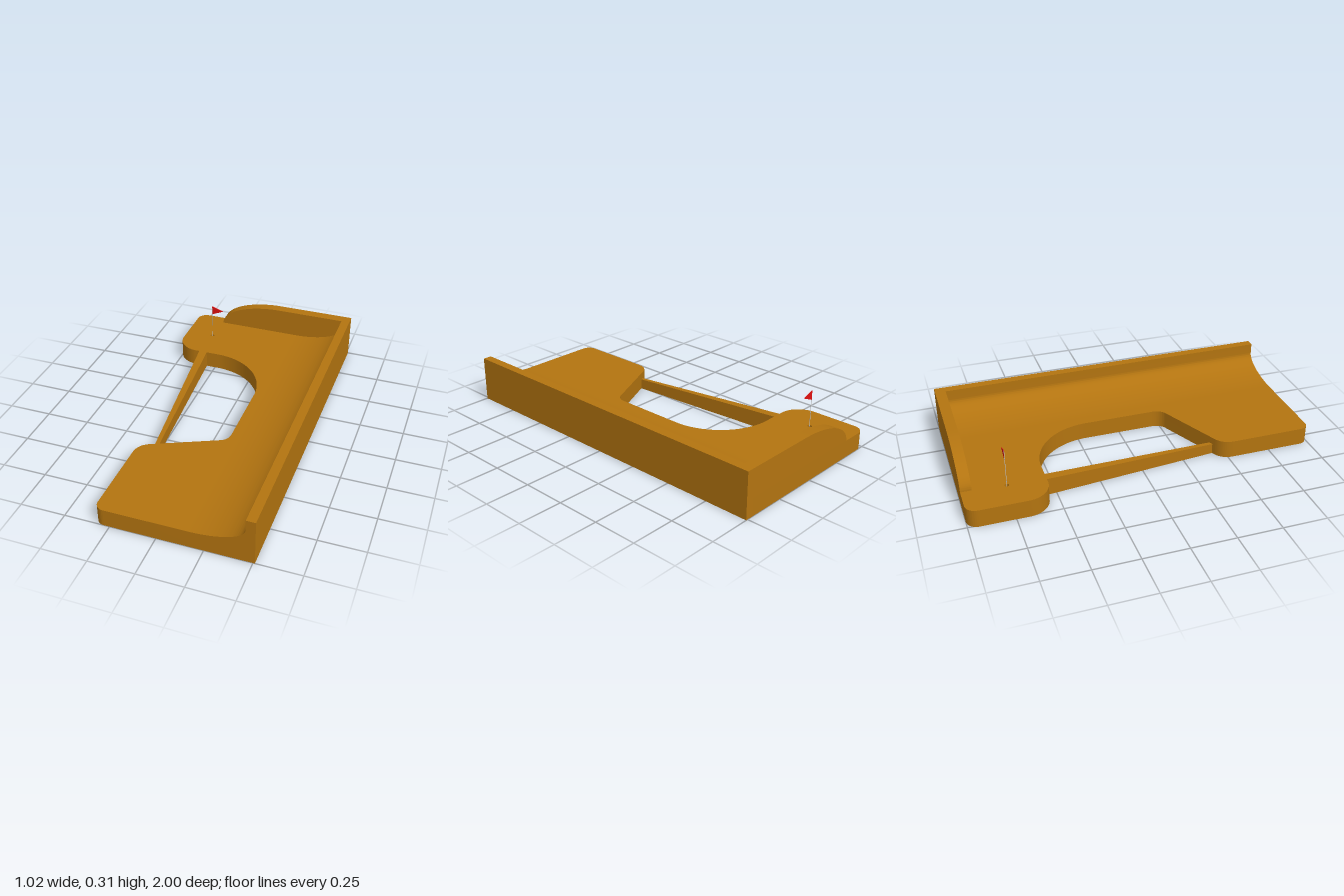
import * as THREE from 'three';
import { toCreasedNormals } from 'three/addons/utils/BufferGeometryUtils.js';

const wood = new THREE.MeshStandardMaterial({ color: 0xb37410 });
const grey = new THREE.MeshStandardMaterial({ color: 0xcccccc });
const red = new THREE.MeshStandardMaterial({ color: 0xe01010, side: THREE.DoubleSide });

const HOLE = { x: -0.342, z: -0.76, r: 0.0125 };

function extrude(shape, depth) {
  const geo = new THREE.ExtrudeGeometry(shape, { depth, bevelEnabled: false, curveSegments: 32 });
  return toCreasedNormals(geo, 0.5);
}

function add(group, name, geometry, material, x = 0, y = 0, z = 0) {
  const mesh = new THREE.Mesh(geometry, material);
  mesh.name = name;
  mesh.position.set(x, y, z);
  group.add(mesh);
  return mesh;
}

// Plan of the course floor, drawn with shape y = -z
function floorShape() {
  const s = new THREE.Shape();
  s.moveTo(0.51, -1);
  s.lineTo(0.51, 1);
  s.absarc(-0.45, 0.94, 0.06, Math.PI / 2, Math.PI, false);
  s.absarc(-0.38, 0.68, 0.13, Math.PI, Math.PI * 1.5, false);
  s.absarc(-0.23, 0.2, 0.35, Math.PI / 2, 0, true);
  s.lineTo(0.12, -0.205);
  s.quadraticCurveTo(0.12, -0.255, 0.08, -0.275);
  s.lineTo(-0.27, -0.435);
  s.quadraticCurveTo(-0.33, -0.463, -0.33, -0.53);
  s.absarc(-0.28, -0.95, 0.05, Math.PI, Math.PI * 1.5, false);
  s.closePath();
  const hole = new THREE.Path();
  hole.absarc(HOLE.x, -HOLE.z, HOLE.r, 0, Math.PI * 2, true);
  s.holes.push(hole);
  return s;
}

// Side bank: concave quarter ellipse rising to a flat rim
function bankShape() {
  const s = new THREE.Shape();
  s.moveTo(0.17, 0.1);
  s.absellipse(0.17, 0.2, 0.29, 0.1, -Math.PI / 2, 0, false);
  s.lineTo(0.46, 0.26);
  s.lineTo(0.51, 0.26);
  s.lineTo(0.51, 0.1);
  s.closePath();
  return s;
}

// Back wall: convex quarter ellipse leading to a level top
function wallShape() {
  const s = new THREE.Shape();
  s.moveTo(-0.33, 0.1);
  s.lineTo(0.51, 0.1);
  s.lineTo(0.51, 0.26);
  s.absellipse(0.05, 0.1, 0.38, 0.16, Math.PI / 2, Math.PI, false);
  return s;
}

// Narrow bridge: a box whose front end is moved, narrowed and lowered
function bridgeGeometry() {
  const geo = new THREE.BoxGeometry(1, 1, 1).toNonIndexed();
  const p = geo.attributes.position;
  for (let i = 0; i < p.count; i++) {
    const front = p.getZ(i) > 0, inner = p.getX(i) > 0, top = p.getY(i) > 0;
    const x = front ? (inner ? -0.238 : -0.26) : (inner ? -0.305 : -0.355);
    p.setXYZ(i, x, top ? (front ? 0.06 : 0.1) : 0, front ? 0.43 : -0.55);
  }
  geo.computeVertexNormals();
  return geo;
}

export function createModel() {
  const model = new THREE.Group();
  model.name = 'miniGolfHole';

  const floor = add(model, 'floor', extrude(floorShape(), 0.1), wood);
  floor.rotation.x = -Math.PI / 2;
  add(model, 'sideBank', extrude(bankShape(), 1.94), wood, 0, 0, -0.94);
  add(model, 'backWall', extrude(wallShape(), 0.06), wood, 0, 0, -1);
  add(model, 'bridge', bridgeGeometry(), wood);

  // Cup bottom
  add(model, 'cupBase', new THREE.CylinderGeometry(HOLE.r, HOLE.r, 0.05, 32), wood, HOLE.x, 0.025, HOLE.z);
  add(model, 'cupFloor', new THREE.CylinderGeometry(HOLE.r, HOLE.r, 0.005, 32), grey, HOLE.x, 0.0525, HOLE.z);

  // Flag and pole
  const flag = new THREE.Group();
  flag.name = 'flag';
  flag.position.set(HOLE.x, 0, HOLE.z);
  add(flag, 'pole', new THREE.CylinderGeometry(0.0015, 0.0015, 0.258, 12), grey, 0, 0.184, 0);
  const pennant = new THREE.Shape();
  pennant.moveTo(0, 0.313);
  pennant.lineTo(0, 0.257);
  pennant.lineTo(0.072, 0.288);
  pennant.closePath();
  add(flag, 'pennant', extrude(pennant, 0.003), red, 0, 0, -0.0015);
  model.add(flag);

  return model;
}
